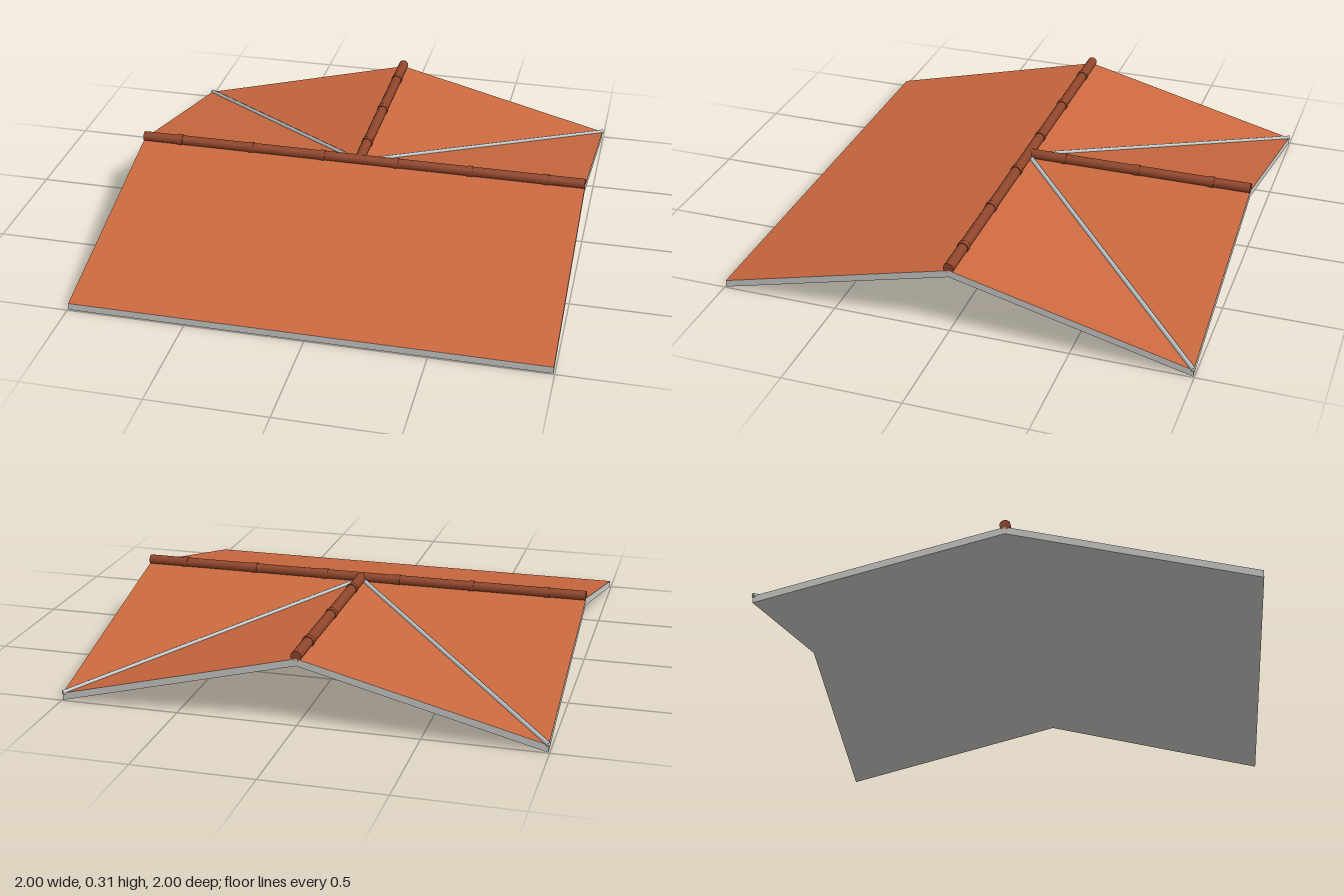
import * as THREE from 'three';

const E = 0.995;      // half width of the roof
const RIDGE = 0.28;   // height of the tiled surface at the ridges
const THICK = 0.03;   // slab thickness, also the height at the eaves

const mat = (name, color) => {
  const m = new THREE.MeshStandardMaterial({ color });
  m.name = name;
  return m;
};

// Flat-faced mesh from a list of corner triples
function facets(name, triangles, material) {
  const geo = new THREE.BufferGeometry();
  geo.setAttribute('position', new THREE.Float32BufferAttribute(triangles.flat(2), 3));
  geo.computeVertexNormals();
  const mesh = new THREE.Mesh(geo, material);
  mesh.name = name;
  return mesh;
}

// Round bar between two points
function bar(name, a, b, radius, sides, material) {
  const dir = b.clone().sub(a);
  const mesh = new THREE.Mesh(new THREE.CylinderGeometry(radius, radius, dir.length(), sides), material);
  mesh.position.copy(a).add(b).multiplyScalar(0.5);
  mesh.quaternion.setFromUnitVectors(new THREE.Vector3(0, 1, 0), dir.normalize());
  mesh.name = name;
  return mesh;
}

export function createModel() {
  const tile = mat('terracotta tile', 0xcb693f);
  const cap = mat('dark ridge tile', 0x8f452b);
  const slab = mat('grey slab', 0xcbcbc8);
  const metal = mat('valley metal', 0xbcc3c5);
  const group = new THREE.Group();
  group.name = 'roofJunction';

  // Outline, counter-clockwise from above; peaks sit where the ridges end
  const outline = [
    [-E, THICK, E], [E, THICK, E], [E, RIDGE, 0], [E, THICK, -E],
    [0, RIDGE, -E], [-E, THICK, -E], [-E, RIDGE, 0],
  ];
  const hub = [0, RIDGE, 0];
  const drop = ([x, y, z]) => [x, y - THICK, z];

  // Tiled planes, underside and edge faces
  const top = [], under = [], edges = [];
  outline.forEach((a, i) => {
    const b = outline[(i + 1) % outline.length];
    top.push([hub, a, b]);
    under.push([drop(hub), drop(b), drop(a)]);
    edges.push([drop(a), drop(b), b], [drop(a), b, a]);
  });
  group.add(facets('roofTiles', top, tile));
  group.add(facets('roofUnderside', under, slab));
  group.add(facets('roofEdges', edges, slab));

  // Main ridge along x and the back ridge along z, with joint collars
  const y = 0.29;
  const V = (x, h, z) => new THREE.Vector3(x, h, z);
  group.add(bar('mainRidge', V(-E, y, 0), V(E, y, 0), 0.022, 16, cap));
  group.add(bar('backRidge', V(0, y, 0), V(0, y, -E), 0.022, 16, cap));
  for (const d of [0.165, 0.495, 0.825]) {
    for (const s of [-1, 1]) {
      group.add(bar('mainRidgeCollar', V(s * d - 0.012, y, 0), V(s * d + 0.012, y, 0), 0.025, 16, cap));
    }
    group.add(bar('backRidgeCollar', V(0, y, -d + 0.012), V(0, y, -d - 0.012), 0.025, 16, cap));
  }

  // Metal strips along the two valleys
  for (const s of [-1, 1]) {
    group.add(bar(s > 0 ? 'leftValley' : 'rightValley',
      V(0, RIDGE + 0.002, 0), V(s * E, THICK + 0.002, -E), 0.01, 8, metal));
  }
  return group;
}
